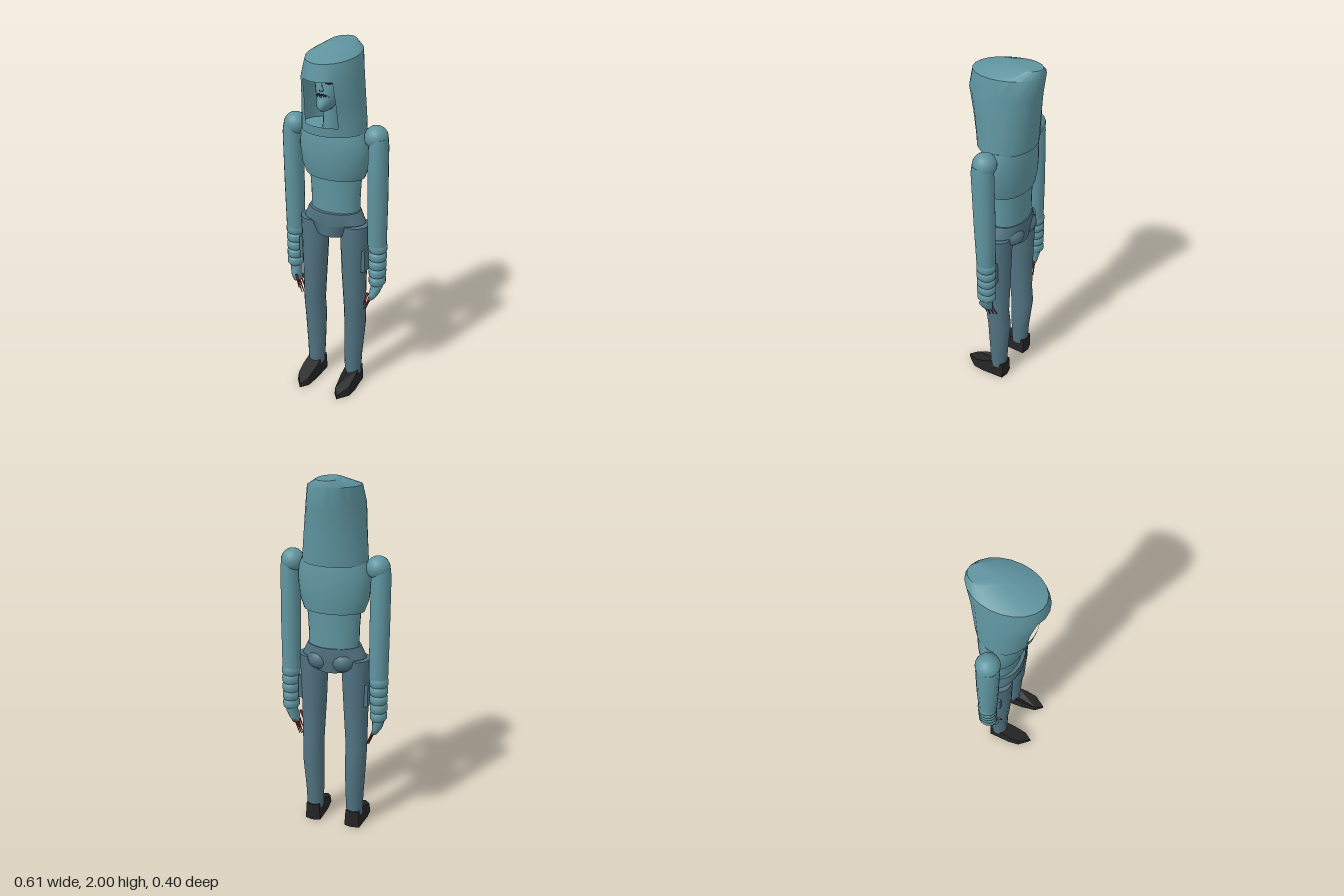
import * as THREE from 'three';
import { toCreasedNormals } from 'three/addons/utils/BufferGeometryUtils.js';

const mat = (name, color, side = THREE.FrontSide) => {
  const m = new THREE.MeshStandardMaterial({ color, side });
  m.name = name;
  return m;
};

// Elliptical rings, bottom to top: [y, centreX, frontZ, backZ, halfWidth, forwardTilt]
function loft(rings, n = 18, { skip = () => false, bottom = true, crease = 0.7 } = {}) {
  const pos = [], idx = [];
  for (const [y, x, zf, zb, a, tilt = 0] of rings) {
    for (let i = 0; i < n; i++) {
      const t = (i / n) * Math.PI * 2;
      pos.push(x + a * Math.sin(t), y + tilt * Math.cos(t), (zf + zb) / 2 + ((zf - zb) / 2) * Math.cos(t));
    }
  }
  for (let r = 0; r < rings.length - 1; r++) {
    for (let i = 0; i < n; i++) {
      if (skip(r, i)) continue;
      const j = (i + 1) % n, a = r * n + i, b = r * n + j, c = a + n, d = b + n;
      idx.push(a, b, d, a, d, c);
    }
  }
  const top = (rings.length - 1) * n;
  for (let i = 1; i < n - 1; i++) {
    idx.push(top, top + i, top + i + 1);
    if (bottom) idx.push(0, i + 1, i);
  }
  const g = new THREE.BufferGeometry();
  g.setAttribute('position', new THREE.Float32BufferAttribute(pos, 3));
  g.setIndex(idx);
  return toCreasedNormals(g, crease);
}

// Pointed shoe: footprint raised to a height that falls towards the toe
function shoeGeometry(s) {
  const foot = [[-0.045, -0.06], [0, -0.07], [0.045, -0.06], [0.05, 0.01], [0.055, 0.07], [0.05, 0.135],
    [0, 0.2], [-0.035, 0.155], [-0.045, 0.07], [-0.045, 0.01]];
  const shape = new THREE.Shape(foot.map(([x, z]) => new THREE.Vector2(s * x, -z)));
  const g = new THREE.ExtrudeGeometry(shape, { depth: 0.1, bevelEnabled: false });
  g.rotateX(-Math.PI / 2);
  const p = g.attributes.position;
  for (let i = 0; i < p.count; i++) {
    if (p.getY(i) < 0.05) continue;
    const z = p.getZ(i);
    p.setY(i, z <= 0.01 ? 0.1 : 0.1 - ((z - 0.01) / 0.19) * 0.075);
    p.setX(i, p.getX(i) * 0.85);
  }
  g.computeVertexNormals();
  return g;
}

export function createModel() {
  const model = new THREE.Group();
  model.name = 'hoodedFigure';
  const teal = mat('teal', 0x5f949f);
  const hoodTeal = mat('hoodTeal', 0x5f949f, THREE.DoubleSide);
  const slate = mat('slate', 0x507280);
  const black = mat('black', 0x242424);
  const red = mat('red', 0x8e3530);

  const add = (name, geometry, material, x = 0, y = 0, z = 0) => {
    const m = new THREE.Mesh(geometry, material);
    m.name = name;
    m.position.set(x, y, z);
    model.add(m);
    return m;
  };

  // Tall hood with a face opening cut in its front
  add('hood', loft([
    [1.56, 0, 0.15, -0.155, 0.178],
    [1.61, 0, 0.155, -0.16, 0.174],
    [1.73, 0, 0.175, -0.17, 0.163],
    [1.855, 0, 0.203, -0.182, 0.152],
    [1.955, 0, 0.187, -0.2, 0.133, -0.014],
    [2.0, 0, 0.0, -0.19, 0.062],
  ], 22, { bottom: false, skip: (r, i) => (r === 1 || r === 2) && (i < 2 || i > 19) }), hoodTeal);

  // Head, with the chin jutting forward
  add('neck', loft([
    [1.52, 0, 0.07, -0.07, 0.065],
    [1.6, 0, 0.07, -0.06, 0.05],
    [1.74, 0, 0.07, -0.06, 0.045],
  ]), teal);
  add('head', loft([
    [1.685, 0, 0.135, 0.0, 0.022],
    [1.71, 0, 0.16, -0.03, 0.038],
    [1.74, 0, 0.145, -0.06, 0.055],
    [1.77, 0, 0.133, -0.08, 0.07],
    [1.84, 0, 0.13, -0.1, 0.085],
    [1.9, 0, 0.11, -0.1, 0.078],
    [1.935, 0, 0.05, -0.07, 0.045],
  ], 20, { crease: 1.2 }), teal);
  const nose = add('nose', new THREE.ConeGeometry(0.012, 0.04, 8), teal, 0, 1.813, 0.13);
  nose.scale.z = 0.8;
  for (const s of [-1, 1]) {
    const eye = add('eye', new THREE.SphereGeometry(1, 12, 8), black, s * 0.04, 1.838, 0.118);
    eye.scale.set(0.026, 0.01, 0.004);
    eye.rotation.set(0, s * 0.4, s * 0.12);
    const nostril = add('nostril', new THREE.SphereGeometry(0.004, 8, 6), black, s * 0.007, 1.794, 0.137);
    nostril.scale.z = 0.5;
  }
  for (let i = -3; i <= 3; i++) {
    const x = i * 0.011;
    const lip = add('mouthSlit', new THREE.BoxGeometry(0.012, 0.006, 0.006), black, x, 1.772 - i * i * 0.001, 0.134 - i * i * 0.0017);
    lip.rotation.y = i * 0.12;
    if (Math.abs(i) < 3) add('toothGap', new THREE.BoxGeometry(0.003, 0.018, 0.006), black, x, 1.768, 0.135 - i * i * 0.0017);
  }

  // Torso
  add('chest', loft([
    [1.3, 0, 0.09, -0.13, 0.168],
    [1.36, 0, 0.105, -0.138, 0.19],
    [1.45, 0, 0.112, -0.14, 0.2],
    [1.52, 0, 0.11, -0.137, 0.196],
    [1.572, 0, 0.1, -0.13, 0.178],
  ], 24), teal);
  add('waist', loft([
    [1.08, 0, 0.068, -0.115, 0.14],
    [1.2, 0, 0.068, -0.115, 0.142],
    [1.32, 0, 0.075, -0.12, 0.15],
  ], 24), teal);
  add('pelvis', loft([
    [0.965, 0, 0.085, -0.115, 0.1],
    [1.03, 0, 0.09, -0.122, 0.145],
    [1.04, 0, 0.09, -0.123, 0.18],
    [1.105, 0, 0.088, -0.122, 0.148],
  ], 24), slate);

  for (const s of [-1, 1]) {
    const buttock = add('buttock', new THREE.SphereGeometry(0.07, 16, 12), slate, s * 0.065, 1.025, -0.062);
    buttock.scale.y = 0.85;

    // Leg, hip pouch and shoe
    add('leg', loft([
      [0.07, s * 0.12, 0.035, -0.06, 0.047],
      [0.2, s * 0.12, 0.04, -0.068, 0.052],
      [0.4, s * 0.126, 0.046, -0.088, 0.06],
      [0.5, s * 0.128, 0.056, -0.078, 0.06],
      [0.75, s * 0.122, 0.066, -0.084, 0.069],
      [0.95, s * 0.12, 0.068, -0.09, 0.077],
      [1.033, s * 0.124, 0.068, -0.092, 0.076],
    ]), slate);
    add('hipPouch', new THREE.BoxGeometry(0.03, 0.13, 0.08), slate, s * 0.187, 0.83, -0.01);
    add('shoe', shoeGeometry(s), black, s * 0.12);

    // Arm
    add('shoulder', new THREE.SphereGeometry(0.063, 20, 14), teal, s * 0.237, 1.543, -0.013);
    add('arm', loft([
      [0.93, s * 0.252, 0.03, -0.072, 0.052],
      [1.2, s * 0.252, 0.042, -0.074, 0.054],
      [1.5, s * 0.252, 0.052, -0.07, 0.053],
      [1.545, s * 0.25, 0.046, -0.066, 0.05],
    ]), teal);

    // Stacked forearm bands
    for (let i = 0; i < 5; i++) {
      const y = 0.915 - i * 0.05, w = 0.052 - i * 0.0015, x = s * (0.255 + i * 0.0005);
      add('forearmBand', loft([
        [y - 0.026, x, 0.02, -0.068, w - 0.008],
        [y - 0.014, x, 0.03, -0.076, w],
        [y + 0.014, x, 0.03, -0.076, w],
        [y + 0.026, x, 0.02, -0.068, w - 0.008],
      ]), teal);
    }

    // Hand and red claws curling inwards
    add('hand', loft([
      [0.6, s * 0.235, 0.03, -0.045, 0.016],
      [0.63, s * 0.245, 0.034, -0.052, 0.027],
      [0.67, s * 0.255, 0.015, -0.058, 0.032],
      [0.72, s * 0.257, 0.015, -0.062, 0.038],
    ], 14), teal);
    for (let i = 0; i < 5; i++) {
      const thumb = i === 0;
      const from = new THREE.Vector3(s * (thumb ? 0.225 : 0.243), 0.645, 0.03 - i * 0.016);
      const to = new THREE.Vector3(s * (thumb ? 0.205 : 0.198), thumb ? 0.57 : 0.52 + Math.abs(i - 2) * 0.01, 0.042 - i * 0.023);
      const dir = to.clone().sub(from), mid = from.clone().add(to).multiplyScalar(0.5);
      const claw = add('claw', new THREE.CylinderGeometry(0.002, 0.008, dir.length(), 8), red, mid.x, mid.y, mid.z);
      claw.quaternion.setFromUnitVectors(new THREE.Vector3(0, 1, 0), dir.normalize());
    }
  }
  return model;
}
